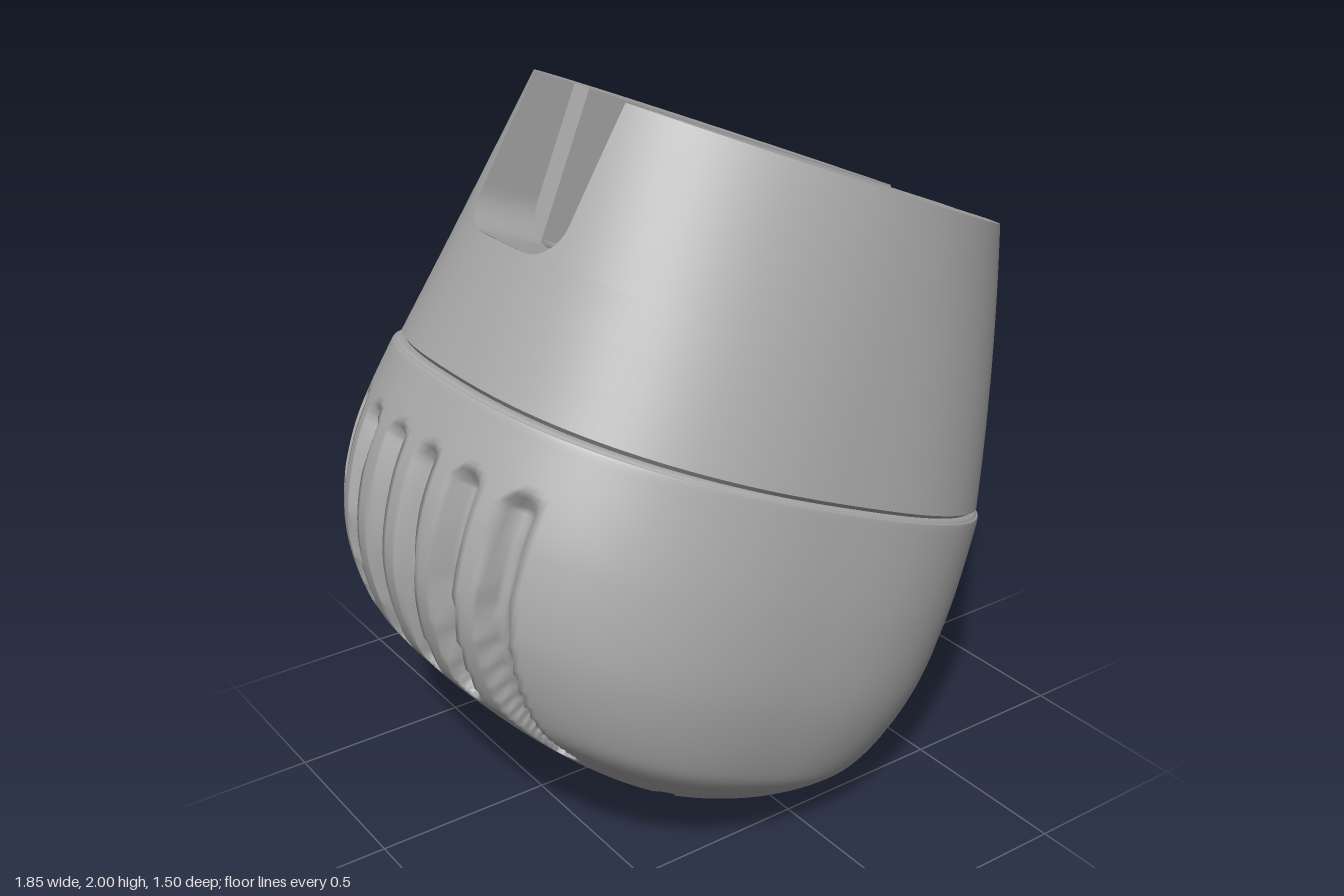
import * as THREE from 'three';
import { mergeVertices, toCreasedNormals } from 'three/addons/utils/BufferGeometryUtils.js';

// Local frame: x = length, y = height, z = width; the whole body is tilted at the end.
const TILT = 0.396, TOP = 1.72, FLOOR = 1.3;
const SLOT = 0.135, END = 0.205, FILLET = 0.1;
const STEPS = [-0.937, 0.147];
const HOLES = [[-0.64, 1.51], [-0.08, 1.51]], HOLE_R = 0.14, BORE_R = 0.06;

// Rounded cross-sections (superellipses)
const section = (lo, hi, b, n) => ({ c: (lo + hi) / 2, a: (hi - lo) / 2, b, n });
function upperSection(v) {
  const f = (v - 0.955) / 0.765;
  return section(-1.185 + 0.072 * f, 0.478 - 0.08 * f - 0.07 * f * f, 0.705 - 0.137 * f, 2.5 - 0.5 * f);
}
function onRing(s, phi, k = 1) {
  const c = Math.cos(phi), d = Math.sin(phi);
  const r = k * Math.pow(Math.pow(Math.abs(c / s.a), s.n) + Math.pow(Math.abs(d / s.b), s.n), -1 / s.n);
  return [s.c + r * c, r * d];
}
const arc = (x, a, b, n) => a * Math.pow(Math.max(0, 1 - Math.pow(Math.abs(x) / b, n)), 1 / n);
const halfLength = (s, z) => arc(z, s.a, s.b, s.n);
const halfWidth = (s, u) => arc(u - s.c, s.b, s.a, s.n);

// Surface over a grid; fn(i, j) gives [x, y, z, cut]
function surface(rows, cols, fn, crease = 0.6) {
  const pos = [], idx = [], cut = [];
  for (let i = 0; i <= rows; i++) for (let j = 0; j <= cols; j++) {
    const p = fn(i, j);
    pos.push(p[0], p[1], p[2]);
    cut.push(!!p[3]);
  }
  const tri = (a, b, c) => { if (!(cut[a] && cut[b] && cut[c])) idx.push(a, b, c); };
  for (let i = 0; i < rows; i++) for (let j = 0; j < cols; j++) {
    const a = i * (cols + 1) + j, d = a + cols + 1;
    tri(a, d, a + 1);
    tri(a + 1, d, d + 1);
  }
  let g = new THREE.BufferGeometry();
  g.setAttribute('position', new THREE.Float32BufferAttribute(pos, 3));
  g.setIndex(idx);
  g = mergeVertices(g, 1e-5);
  if (crease) return toCreasedNormals(g, crease);
  g.computeVertexNormals();
  return g;
}

// Tread lines: front in (|z|, height), sole in (length, |z|), rear in (z, local height)
const FRONT = [
  [[0.57, 0.43], [0.36, 0.44], [0.36, 0.22], [0.63, 0.2]],
  [[0.36, 0.22], [0.28, 0.21], [0, 0.31]],
  [[0.37, 0.22], [0.37, 0.1]],
  [[0.58, 0.14], [0.3, 0.07], [0.1, 0.07], [0, 0.1]],
];
const TICKS = [0.06, 0.17, 0.28].map(z => [[z, 0.49], [z + 0.04, 0.5]]);
const SOLE = [
  [[0.22, 0], [0.18, 0.28], [0.03, 0.38], [-0.08, 0.55]],
  [[-0.12, 0], [-0.16, 0.25], [-0.33, 0.33], [-0.42, 0.5]],
];
const REAR = [-0.4, -0.24, -0.08, 0.08, 0.24, 0.4].map(z => [[z, 0.74], [z, Math.abs(z) > 0.3 ? 0.1 : 0.22]]);

function distance(lines, x, y) {
  let best = 9;
  for (const l of lines) for (let i = 1; i < l.length; i++) {
    const [ax, ay] = l[i - 1], dx = l[i][0] - ax, dy = l[i][1] - ay;
    const t = THREE.MathUtils.clamp(((x - ax) * dx + (y - ay) * dy) / (dx * dx + dy * dy), 0, 1);
    best = Math.min(best, Math.hypot(x - ax - t * dx, y - ay - t * dy));
  }
  return best;
}
const groove = (d, w, depth) => depth * THREE.MathUtils.clamp((w - d) / 0.012 + 0.5, 0, 1);

function treadDepth(u, v, z) {
  const c = Math.cos(TILT), s = Math.sin(TILT), x = c * u + s * v, y = -s * u + c * v, w = Math.abs(z);
  if (u < -0.75) return groove(distance(REAR, z, v), 0.032, 0.055);
  if (x > 0.25) {
    return Math.max(groove(distance(FRONT, w, y), 0.02, 0.04), groove(distance(TICKS, w, y), 0.012, 0.015));
  }
  return v < 0.25 ? groove(distance(SOLE, x, w), 0.022, 0.04) : 0;
}

// Rounded lower bowl: [height, rear end, front end, half width]
function lowerGeometry() {
  const rings = [
    [0.945, -1.16, 0.46, 0.69], [0.935, -1.195, 0.488, 0.705], [0.9, -1.21, 0.5, 0.715],
    [0.657, -1.229, 0.49, 0.745], [0.427, -1.181, 0.455, 0.745], [0.232, -1.051, 0.372, 0.7],
    [0.133, -0.901, 0.258, 0.64], [0.036, -0.665, 0.08, 0.5], [-0.002, -0.433, -0.05, 0.33],
    [-0.014, -0.255, -0.245, 0.01],
  ];
  const ends = new THREE.CatmullRomCurve3(rings.map(r => new THREE.Vector3(r[1], r[2], 0)), false, 'catmullrom');
  const sides = new THREE.CatmullRomCurve3(rings.map(r => new THREE.Vector3(r[0], r[3], 0)), false, 'catmullrom');
  const rows = 144, cols = 320;
  return surface(rows, cols, (i, j) => {
    const e = ends.getPoint(i / rows), w = sides.getPoint(i / rows), v = w.x;
    const [u, z] = onRing(section(e.x, e.y, w.y, 2.5), -((j % cols) / cols) * Math.PI * 2);
    const d = treadDepth(u, v, z);
    const inward = new THREE.Vector3(-0.36 - u, 0.5 - v, -z).normalize().multiplyScalar(d);
    return [u + inward.x, v + inward.y, z + inward.z];
  }, 0);
}

// Half width of the rounded end slots at height v
function slotWidth(v) {
  const h = Math.max(0, FILLET - (v - FLOOR));
  return END - FILLET + Math.sqrt(Math.max(0, FILLET * FILLET - h * h));
}

export function createModel() {
  const model = new THREE.Group(), body = new THREE.Group();
  body.name = 'tiltedBody';
  body.rotation.z = -TILT;
  model.name = 'slottedFoot';
  model.add(body);
  const grey = new THREE.MeshStandardMaterial({ color: 0xaaaaaa, side: THREE.DoubleSide });
  grey.name = 'grey';
  const add = (name, geometry) => {
    const m = new THREE.Mesh(geometry, grey);
    m.name = name;
    body.add(m);
    return m;
  };
  const flat = pts => new THREE.Shape(pts.map(p => new THREE.Vector2(p[0], p[1])));

  add('lowerBowl', lowerGeometry());

  // Collar below the slot, tucked in at the seam
  const levels = [0.94, 0.955, 1.07, 1.185, FLOOR];
  add('collar', surface(4, 160, (i, j) => {
    const v = levels[4 - i] ;
    const [u, z] = onRing(upperSection(v), -((j % 160) / 160) * Math.PI * 2, i === 4 ? 0.975 : 1);
    return [u, v, z];
  }));

  // Heights of the slotted part, denser at the fillet
  const heights = [];
  for (let i = 0; i <= 8; i++) heights.push(FLOOR + FILLET * (1 - Math.cos((i / 8) * Math.PI / 2)));
  for (let i = 1; i <= 26; i++) heights.push(FLOOR + FILLET + (TOP - FLOOR - FILLET) * i / 26);

  for (const s of [-1, 1]) {
    const side = s > 0 ? 'left' : 'right';
    // Outer cheek, the right one with two holes
    add(side + 'Cheek', surface(heights.length - 1, 120, (i, j) => {
      let v = heights[i], q = upperSection(v), w = slotWidth(v), cut = false;
      const p0 = Math.atan2(w, halfLength(q, w));
      let [u, z] = onRing(q, p0 + (Math.PI - 2 * p0) * (s > 0 ? 1 - j / 120 : j / 120));
      if (s < 0) for (const [hu, hv] of HOLES) {
        const d = Math.hypot(u - hu, v - hv);
        if (d < HOLE_R) {
          const k = HOLE_R / Math.max(d, 1e-4);
          u = hu + (u - hu) * k;
          v = hv + (v - hv) * k;
          z = halfWidth(upperSection(v), u);
          cut = true;
        }
      }
      return [u, v, s * z, cut];
    }));

    // Flat top, notched at both ends
    const q = upperSection(TOP), p0 = Math.atan2(END, halfLength(q, END)), top = [];
    for (let j = 0; j <= 64; j++) top.push(onRing(q, p0 + (Math.PI - 2 * p0) * j / 64));
    top.push([STEPS[0], END], [STEPS[0], SLOT], [STEPS[1], SLOT], [STEPS[1], END]);
    const cap = new THREE.ShapeGeometry(flat(top.map(([u, z]) => [u, -s * z])));
    add(side + 'Top', cap.rotateX(-Math.PI / 2).translate(0, TOP, 0));

    // Inner wall of the long slot
    const wall = flat([[STEPS[0], FLOOR], [STEPS[1], FLOOR], [STEPS[1], TOP], [STEPS[0], TOP]]);
    if (s < 0) for (const [hu, hv] of HOLES) {
      wall.holes.push(new THREE.Path().absarc(hu, hv, BORE_R, 0, Math.PI * 2, true));
    }
    add(side + 'SlotWall', new THREE.ShapeGeometry(wall, 16).translate(0, 0, s * SLOT));

    // Steps between the long slot and the wider ends
    for (const u of STEPS) {
      const pts = heights.filter(v => slotWidth(v) > SLOT).map(v => [s * slotWidth(v), v]);
      pts.push([s * SLOT, TOP], [s * SLOT, FLOOR]);
      add(side + 'SlotStep', new THREE.ShapeGeometry(flat(pts)).rotateY(-Math.PI / 2).scale(1, 1, 1).translate(u, 0, 0));
    }
  }

  // Long slot floor
  const length = STEPS[1] - STEPS[0];
  add('slotFloor', new THREE.PlaneGeometry(length, SLOT * 2).rotateX(-Math.PI / 2)
    .translate((STEPS[0] + STEPS[1]) / 2, FLOOR + 0.012, 0));

  // Wide rounded slot ends
  const half = heights.map(v => [slotWidth(v), v]);
  const profile = [...half.slice().reverse(), ...half.map(([z, v]) => [-z, v])];
  STEPS.forEach((step, e) => add(e ? 'frontSlotEnd' : 'rearSlotEnd', surface(profile.length - 1, 1, (i, j) => {
    const [z, v] = profile[i], q = upperSection(v);
    return [j ? q.c + (e ? 1 : -1) * halfLength(q, z) : step, v, z];
  })));

  // Counterbored screw holes
  for (const [hu, hv] of HOLES) {
    add('screwHole', surface(3, 40, (i, j) => {
      const t = ((j % 40) / 40) * Math.PI * 2, r = i < 2 ? HOLE_R : BORE_R;
      const u = hu + r * Math.cos(t), v = hv + r * Math.sin(t);
      return [u, v, i === 0 ? -halfWidth(upperSection(v), u) : i < 3 ? -0.34 : -SLOT];
    }));
  }
  return model;
}
